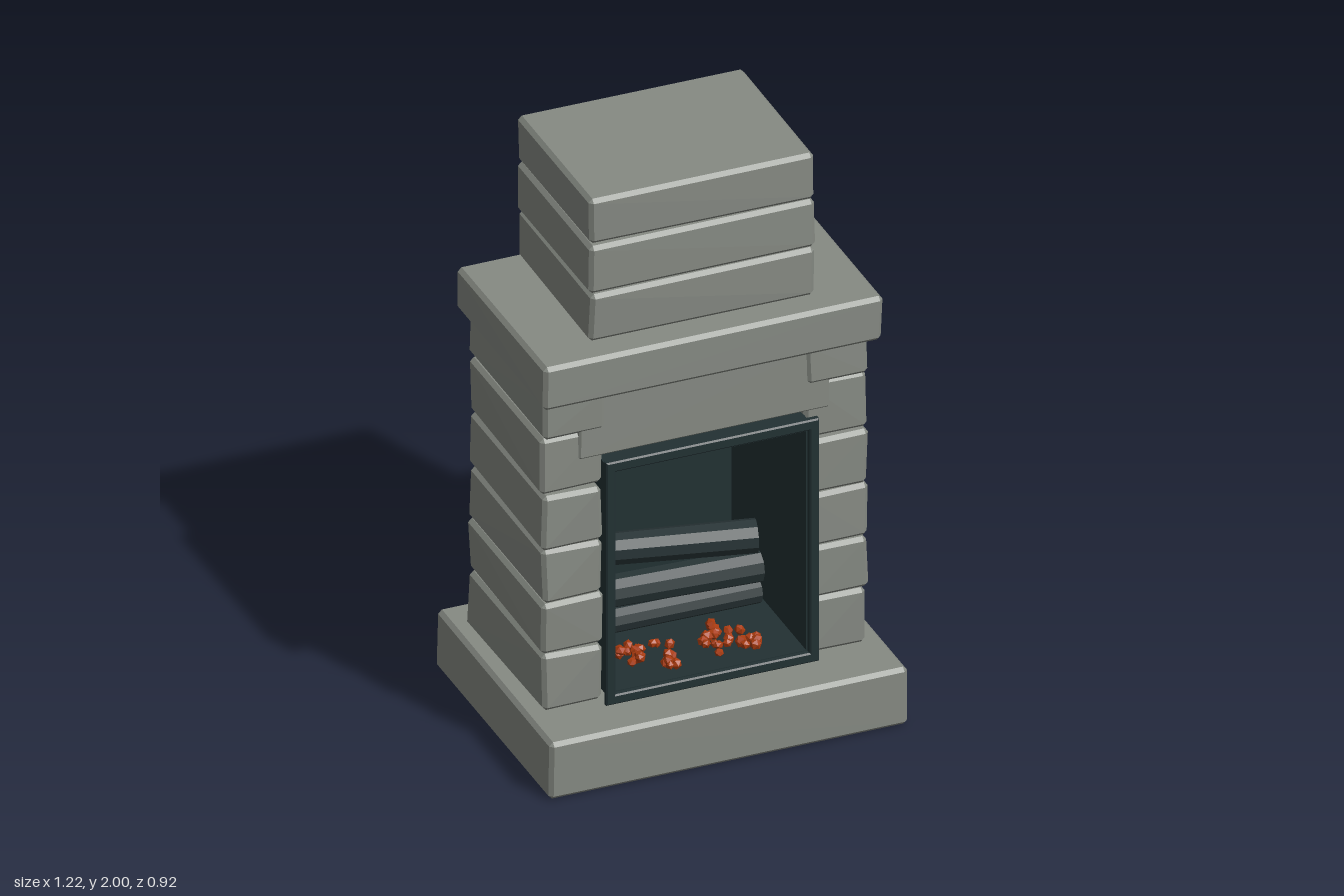
import * as THREE from 'three';
import { ConvexGeometry } from 'three/addons/geometries/ConvexGeometry.js';

export function createModel() {
  const mat = (name, color) => {
    const m = new THREE.MeshStandardMaterial({ color });
    m.name = name;
    return m;
  };
  const stone = mat('stone', 0x868a83);
  const iron = mat('dark iron', 0x223133);
  const bark = mat('charred wood', 0x283436);
  const ember = mat('ember', 0xa83a0e);

  const model = new THREE.Group();
  model.name = 'fireplace';
  const add = (name, geometry, material, parent = model) => {
    const mesh = new THREE.Mesh(geometry, material);
    mesh.name = name;
    parent.add(mesh);
    return mesh;
  };
  const group = (name) => {
    const g = new THREE.Group();
    g.name = name;
    model.add(g);
    return g;
  };

  // Seeded value in -1..1
  let seed = 11;
  const rand = () => {
    seed = (seed * 16807) % 2147483647;
    return (seed / 2147483647) * 2 - 1;
  };

  // Chamfered, slightly uneven block: three points at every corner
  function block(x0, x1, y0, y1, z0, z1, wobble = 0.004, c = 0.013) {
    const pts = [];
    for (const i of [0, 1]) for (const j of [0, 1]) for (const k of [0, 1]) {
      const p = new THREE.Vector3(
        (i ? x1 : x0) + rand() * wobble,
        (j ? y1 : y0) + rand() * wobble * 0.4,
        (k ? z1 : z0) + rand() * wobble);
      const dx = i ? -c : c, dy = j ? -c : c, dz = k ? -c : c;
      pts.push(
        new THREE.Vector3(p.x, p.y + dy, p.z + dz),
        new THREE.Vector3(p.x + dx, p.y, p.z + dz),
        new THREE.Vector3(p.x + dx, p.y + dy, p.z));
    }
    return new ConvexGeometry(pts);
  }
  const box = (x0, x1, y0, y1, z0, z1) =>
    new THREE.BoxGeometry(x1 - x0, y1 - y0, z1 - z0)
      .translate((x0 + x1) / 2, (y0 + y1) / 2, (z0 + z1) / 2);

  // Hearth slab, mantel and chimney
  add('hearth', block(-0.605, 0.605, 0.002, 0.208, -0.457, 0.457), stone);
  add('mantel', block(-0.573, 0.573, 1.33, 1.485, -0.37, 0.33), stone);
  const chimney = group('chimney');
  [[1.487, 1.658], [1.662, 1.832], [1.838, 1.999]].forEach(([y0, y1]) =>
    add('chimneyBlock', block(-0.38, 0.38, y0, y1, -0.345, 0.243), stone, chimney));

  // Side columns of stacked blocks
  const courses = [[0.209, 0.405], [0.409, 0.592], [0.596, 0.782], [0.786, 0.976], [0.98, 1.18]];
  for (const side of [-1, 1]) {
    const column = group(side > 0 ? 'leftColumn' : 'rightColumn');
    const span = (a, b) => (side > 0 ? [a, b] : [-b, -a]);
    courses.forEach(([y0, y1], i) => {
      const front = i === 4 ? 0.252 : 0.264;
      const back = i === 4 ? -0.325 : -0.335;
      add('columnBlock', block(...span(0.347, 0.55), y0, y1, back, front, 0.006), stone, column);
    });
    add('columnTop', block(...span(0.34, 0.55), 1.185, 1.333, -0.336, 0.27, 0.003), stone, column);
  }

  // Lintel over the opening
  add('lintel', block(-0.425, 0.42, 1.087, 1.333, -0.33, 0.262, 0.002, 0.006), stone);

  // Firebox, open at the front
  const firebox = group('firebox');
  add('backPanel', box(-0.347, 0.347, 0.225, 1.085, -0.31, -0.295), iron, firebox);
  add('floor', box(-0.345, 0.345, 0.235, 0.252, -0.3, 0.3), iron, firebox);
  add('ceiling', box(-0.345, 0.345, 1.042, 1.062, -0.3, 0.3), iron, firebox);
  for (const s of [-1, 1])
    add('sideWall', box(-0.01, 0.01, 0.252, 1.042, -0.3, 0.3), iron, firebox).position.x = s * 0.335;

  // Raised frame around the opening
  const rect = (P, x, y0, y1) => {
    const p = new P();
    p.moveTo(-x, y0);
    p.lineTo(x, y0);
    p.lineTo(x, y1);
    p.lineTo(-x, y1);
    p.closePath();
    return p;
  };
  const outline = rect(THREE.Shape, 0.355, 0.222, 1.087);
  outline.holes.push(rect(THREE.Path, 0.333, 0.247, 1.06));
  add('frame', new THREE.ExtrudeGeometry(outline, {
    depth: 0.015, bevelEnabled: true, bevelThickness: 0.005, bevelSize: 0.005, bevelSegments: 1,
  }).translate(0, 0, 0.304), iron, firebox);

  // Stacked logs, each between two end points
  const logs = group('logs');
  const log = (a, b, r0, r1) => {
    const from = new THREE.Vector3(...a), to = new THREE.Vector3(...b);
    const dir = to.clone().sub(from);
    const mesh = add('log', new THREE.CylinderGeometry(r1, r0, dir.length(), 10).toNonIndexed(), bark, logs);
    mesh.geometry.computeVertexNormals();
    mesh.position.copy(from).add(to).multiplyScalar(0.5);
    mesh.quaternion.setFromUnitVectors(new THREE.Vector3(0, 1, 0), dir.normalize());
  };
  log([-0.27, 0.355, 0.05], [0.27, 0.345, 0.04], 0.045, 0.045);
  log([-0.27, 0.458, 0.05], [0.265, 0.445, 0.06], 0.053, 0.056);
  log([-0.275, 0.558, -0.05], [0.25, 0.565, 0.08], 0.052, 0.056);

  // Two loose heaps of glowing coals
  const embers = group('embers');
  for (const cx of [-0.165, 0.115]) {
    for (let i = 0; i < 20; i++) {
      const coal = add('coal', new THREE.IcosahedronGeometry(0.019 + rand() * 0.004, 0), ember, embers);
      coal.position.set(cx + rand() * 0.1, 0.272 + (i % 3) * 0.009, 0.165 + rand() * 0.09);
      coal.rotation.set(rand() * 3, rand() * 3, rand() * 3);
      coal.scale.y = 0.85;
    }
  }
  return model;
}
